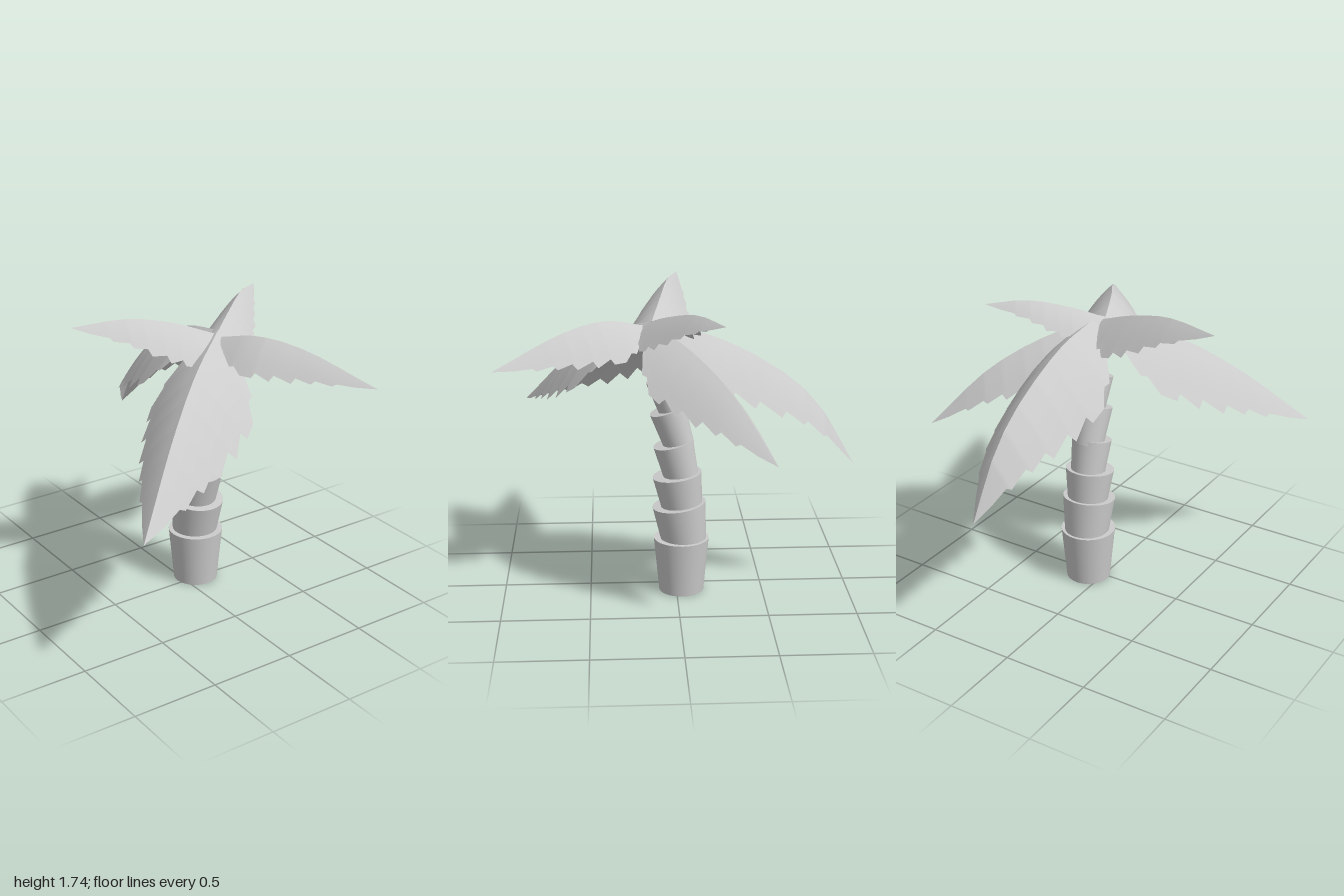
import * as THREE from 'three';

const V = (p) => new THREE.Vector3(...p);
const trunkMat = new THREE.MeshStandardMaterial({ color: 0xcccccc });
const leafMat = new THREE.MeshStandardMaterial({ color: 0xcccccc, side: THREE.DoubleSide });

// Trunk rings: bottom centre, bottom radius, top centre, top radius
const RINGS = [
  [[0.09, 0, -0.03], 0.13, [0.09, 0.323, -0.03], 0.16],
  [[0.092, 0.29, -0.03], 0.128, [0.092, 0.53, -0.033], 0.154],
  [[0.092, 0.5, -0.025], 0.115, [0.092, 0.71, -0.015], 0.142],
  [[0.092, 0.68, -0.015], 0.098, [0.092, 0.9, 0], 0.116],
  [[0.092, 0.87, 0.0], 0.086, [0.092, 1.1, 0.03], 0.104],
  [[0.093, 1.07, 0.025], 0.075, [0.096, 1.28, 0.072], 0.094],
  [[0.11, 1.22, 0.06], 0.045, [0.16, 1.47, 0.14], 0.05],
];
// How far each ring's axis leans towards the front
const LEAN = [0, 0.13, 0.14, 0.23, 0.31, 0.3, 0.32];

function trunkRing([bottom, rBottom, top, rTop], lean, name) {
  const a = V(bottom), b = V(top);
  const geo = new THREE.CylinderGeometry(rTop, rBottom, a.distanceTo(b), 32);
  const mesh = new THREE.Mesh(geo, trunkMat);
  mesh.name = name;
  mesh.position.copy(a).add(b).multiplyScalar(0.5);
  mesh.rotation.x = lean;
  if (name === 'trunkTip') mesh.rotation.z = -0.2;
  return mesh;
}

// Jagged half width of a frond: [position along the rib, share of full width]
const EDGE = [
  [0, 0.06], [0.04, 0.3], [0.09, 0.58], [0.15, 0.86], [0.18, 0.84], [0.23, 1.0], [0.3, 0.98],
  [0.315, 0.87], [0.4, 0.92], [0.42, 0.78], [0.52, 0.78], [0.54, 0.65], [0.63, 0.61],
  [0.65, 0.51], [0.75, 0.43], [0.77, 0.35], [0.88, 0.2], [1, 0],
];

// One side of a frond, hanging from the rib and drooping outwards
function frondHalf(rib, width, side) {
  const dir = rib.getPoint(1).sub(rib.getPoint(0)).setY(0).normalize();
  const out = new THREE.Vector3(-dir.z, 0, dir.x).multiplyScalar(side);
  const pos = [], index = [], N = 5;
  EDGE.forEach(([t, share], i) => {
    const c = rib.getPointAt(t);
    for (let j = 0; j <= N; j++) {
      const s = share * width * j / N;
      const drop = s * (0.72 + 0.85 * t) * (0.7 + 0.4 * s / width);
      pos.push(c.x + out.x * s, c.y - drop, c.z + out.z * s);
      if (i && j) {
        const d = i * (N + 1) + j, b = d - N - 1;
        const quad = [b - 1, d - 1, d, b - 1, d, b];
        index.push(...(side < 0 ? quad : quad.reverse()));
      }
    }
  });
  const geo = new THREE.BufferGeometry();
  geo.setAttribute('position', new THREE.Float32BufferAttribute(pos, 3));
  // Keep the lit face upwards
  geo.setIndex(index.reverse());
  geo.computeVertexNormals();
  return new THREE.Mesh(geo, leafMat);
}

// Fronds: rib points from crown to tip, half width on each side (-1, +1)
const FRONDS = [
  ['frontRightFrond', [[0.12, 1.61, 0.14], [-0.2, 1.485, 0.38], [-0.5, 1.27, 0.61], [-0.87, 0.9, 0.9]], 0.3, 0.28],
  ['frontLeftFrond', [[0.1, 1.58, 0.17], [0.2, 1.63, 0.4], [0.33, 1.595, 0.62], [0.54, 1.44, 0.99]], 0.19, 0.17],
  ['backLeftFrond', [[0.1, 1.6, 0.15], [0.35, 1.5, -0.06], [0.6, 1.32, -0.27], [0.86, 1.0, -0.49]], 0.2, 0.24],
  ['backFrond', [[0.13, 1.6, 0.12], [0.15, 1.53, -0.2], [0.17, 1.32, -0.6], [0.18, 1.13, -0.8], [0.19, 0.79, -1.0]], 0.29, 0.24],
  ['rightFrond', [[0.1, 1.59, 0.14], [-0.15, 1.685, 0.08], [-0.4, 1.74, 0.03], [-0.71, 1.73, -0.04]], 0.18, 0.19],
  ['leftFrond', [[0.08, 1.59, 0.17], [0.25, 1.66, 0.05], [0.45, 1.71, -0.1], [0.64, 1.69, -0.23]], 0.14, 0.16],
];

export function createModel() {
  const model = new THREE.Group();
  model.name = 'palmTree';

  const trunk = new THREE.Group();
  trunk.name = 'trunk';
  RINGS.forEach((ring, i) => {
    const name = i === RINGS.length - 1 ? 'trunkTip' : `trunkRing${i + 1}`;
    trunk.add(trunkRing(ring, LEAN[i], name));
  });
  model.add(trunk);

  const crown = new THREE.Group();
  crown.name = 'crown';
  for (const [name, points, widthA, widthB] of FRONDS) {
    const rib = new THREE.CatmullRomCurve3(points.map(V));
    const frond = new THREE.Group();
    frond.name = name;
    const halves = [frondHalf(rib, widthA, -1), frondHalf(rib, widthB, 1)];
    halves.forEach((half, i) => { half.name = `${name}Side${i + 1}`; });
    frond.add(...halves);
    crown.add(frond);
  }
  model.add(crown);
  return model;
}
